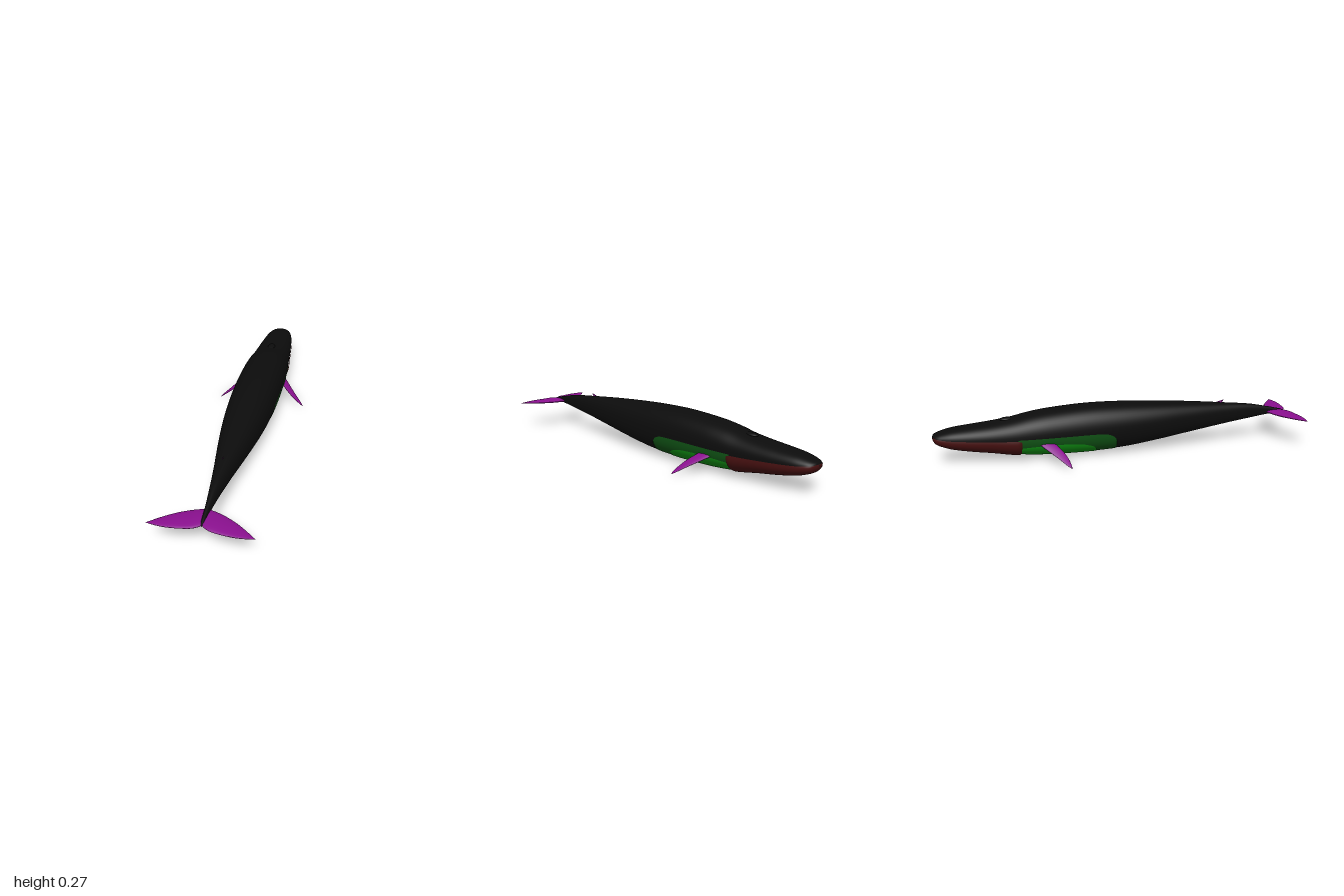
import * as THREE from 'three';
import { mergeVertices } from 'three/addons/utils/BufferGeometryUtils.js';

// Body stations: z, half width, top y, bottom y
const STATIONS = [
  [-1, 0, 0.149, 0.143], [-0.995, 0.028, 0.158, 0.13], [-0.98, 0.05, 0.166, 0.114],
  [-0.95, 0.065, 0.176, 0.1], [-0.9, 0.079, 0.187, 0.084], [-0.8, 0.093, 0.198, 0.066],
  [-0.7, 0.103, 0.208, 0.052], [-0.6, 0.111, 0.222, 0.038], [-0.5, 0.12, 0.243, 0.026],
  [-0.4, 0.125, 0.257, 0.02], [-0.2, 0.126, 0.271, 0.017], [0, 0.119, 0.27, 0.025],
  [0.2, 0.102, 0.26, 0.05], [0.4, 0.075, 0.245, 0.08], [0.6, 0.044, 0.226, 0.109],
  [0.75, 0.024, 0.21, 0.129], [0.85, 0.014, 0.19, 0.142], [0.93, 0.009, 0.172, 0.149],
  [0.96, 0.006, 0.164, 0.153], [0.966, 0, 0.16, 0.157],
];
const POWER = 2.3; // superellipse exponent of the cross-section

// Smooth cubic interpolation of a table whose first column is the key
function sample(table, key) {
  const last = table.length - 1;
  let i = 0;
  while (i < last - 1 && key > table[i + 1][0]) i++;
  const a = table[i], b = table[i + 1], p = table[Math.max(i - 1, 0)], q = table[Math.min(i + 2, last)];
  const h = b[0] - a[0], t = THREE.MathUtils.clamp((key - a[0]) / h, 0, 1);
  const t2 = t * t, t3 = t2 * t;
  return a.slice(1).map((v, k) => {
    const c = k + 1;
    const m0 = (b[c] - p[c]) / (b[0] - p[0]) * h, m1 = (q[c] - a[c]) / (q[0] - a[0]) * h;
    return (2 * t3 - 3 * t2 + 1) * v + (t3 - 2 * t2 + t) * m0 + (3 * t2 - 2 * t3) * b[c] + (t3 - t2) * m1;
  });
}

// Surface from point(u, v), with u around and v along
function surface(cols, rows, point) {
  const pos = [], idx = [];
  for (let r = 0; r <= rows; r++)
    for (let c = 0; c <= cols; c++) pos.push(...point(c / cols, r / rows));
  for (let r = 0; r < rows; r++)
    for (let c = 0; c < cols; c++) {
      const a = r * (cols + 1) + c, d = a + cols + 1;
      idx.push(a, a + 1, d, a + 1, d + 1, d);
    }
  let g = new THREE.BufferGeometry();
  g.setAttribute('position', new THREE.Float32BufferAttribute(pos, 3));
  g.setIndex(idx);
  g = mergeVertices(g, 1e-6);
  g.computeVertexNormals();
  return g;
}

const bend = (v, e) => Math.sign(v) * Math.abs(v) ** e;

// Point on the body skin; angle 0 is the belly line, positive towards +x
function skin(z, angle, offset = 0) {
  const [w, top, bottom] = sample(STATIONS, z);
  const c = (top + bottom) / 2, h = (top - bottom) / 2;
  return [
    (Math.max(w, 0) + offset) * bend(Math.sin(angle), 2 / POWER),
    c - (h + offset) * bend(Math.cos(angle), 2 / POWER), z,
  ];
}

// Skin angle at which the side reaches height y
function angleAt(z, y) {
  const [, top, bottom] = sample(STATIONS, z);
  const r = THREE.MathUtils.clamp(((top + bottom) / 2 - y) / ((top - bottom) / 2), -1, 1);
  return Math.acos(bend(r, POWER / 2));
}

// Raised underside patch; the edge table holds z, upper y, offset
function patch(edge, rows, ease = 1) {
  const z0 = edge[0][0], z1 = edge[edge.length - 1][0];
  return surface(48, rows, (u, v) => {
    const z = z0 + (z1 - z0) * v ** ease;
    const [y, offset] = sample(edge, z), s = u * 2 - 1;
    return skin(z, s * angleAt(z, y), offset * (1 - 0.7 * s ** 8));
  });
}

// Lens-section fin; sections hold x, y, leading z, trailing z, half thickness
function fin(sections, normal, side) {
  const keyed = sections.map((s, i) => [i, ...s]);
  return surface(20, (sections.length - 1) * 3, (u, v) => {
    const [x, y, z0, z1, t] = sample(keyed, v * (sections.length - 1));
    const a = -u * Math.PI * 2 * side, n = Math.sin(a) * t;
    return [side * (x + normal[0] * n), y + normal[1] * n, (z0 + z1) / 2 + Math.cos(a) * (z1 - z0) / 2];
  });
}

export function createModel() {
  const model = new THREE.Group();
  model.name = 'whale';
  const paint = (name, color) => {
    const m = new THREE.MeshStandardMaterial({ color });
    m.name = name;
    return m;
  };
  const black = paint('black skin', 0x0c0c0c);
  const purple = paint('purple fins', 0x8a108f);
  const darkGreen = paint('dark green throat', 0x0f5014);
  const green = paint('green belly', 0x0f8a12);
  const red = paint('dark red jaw', 0x451010);
  const add = (name, geometry, material) => {
    const mesh = new THREE.Mesh(geometry, material);
    mesh.name = name;
    model.add(mesh);
    return mesh;
  };

  // Body, with rows packed towards the nose
  add('body', surface(56, 110, (u, v) =>
    skin(-1 + 1.966 * v ** 1.5, (u * 2 - 1) * Math.PI)), black);

  // Blowhole ridge
  const ridge = add('blowholeRidge', new THREE.SphereGeometry(1, 20, 12), black);
  ridge.scale.set(0.022, 0.011, 0.04);
  ridge.position.set(0, 0.217, -0.615);

  // Throat and belly patches, rounded off at the rear
  add('throat', patch([
    [-0.57, 0.13, 0.002], [-0.3, 0.134, 0.002], [-0.13, 0.134, 0.002], [-0.085, 0.125, 0.002],
    [-0.058, 0.105, 0.002], [-0.045, 0.075, 0.002], [-0.04, 0.03, 0.002],
  ], 50), darkGreen);
  add('belly', patch([
    [-0.57, 0.085, 0.004], [-0.53, 0.09, 0.004], [-0.4, 0.097, 0.004], [-0.27, 0.094, 0.004],
    [-0.2, 0.08, 0.004], [-0.165, 0.06, 0.004], [-0.15, 0.025, 0.004],
  ], 50), green);

  // Lower jaw, swelling at its hinge
  add('lowerJaw', patch([
    [-1, 0.152, 0.001], [-0.98, 0.148, 0.003], [-0.9, 0.14, 0.004], [-0.8, 0.134, 0.005],
    [-0.7, 0.129, 0.006], [-0.62, 0.126, 0.009], [-0.575, 0.125, 0.01],
    [-0.56, 0.122, 0.008], [-0.55, 0.118, 0.001],
  ], 70, 1.5), red);

  // Flippers and tail flukes in mirrored pairs
  const flipper = [
    [0.09, 0.116, -0.475, -0.4, 0.008], [0.125, 0.092, -0.452, -0.373, 0.008],
    [0.16, 0.067, -0.414, -0.346, 0.006], [0.2, 0.039, -0.372, -0.326, 0.004],
    [0.235, 0.015, -0.338, -0.317, 0.002], [0.249, 0.004, -0.319, -0.318, 0],
  ];
  const fluke = [
    [0, 0.158, 0.85, 0.955, 0.009], [0.01, 0.158, 0.851, 0.967, 0.01],
    [0.04, 0.158, 0.859, 0.985, 0.011], [0.08, 0.157, 0.874, 0.993, 0.01],
    [0.12, 0.157, 0.895, 0.998, 0.009], [0.16, 0.157, 0.921, 1, 0.007],
    [0.2, 0.157, 0.952, 0.997, 0.005], [0.23, 0.157, 0.978, 0.992, 0.002],
    [0.244, 0.157, 0.988, 0.989, 0],
  ];
  for (const [label, side] of [['left', 1], ['right', -1]]) {
    add(label + 'Flipper', fin(flipper, [0.57, 0.82], side), purple);
    add(label + 'Fluke', fin(fluke, [0, 1], side), purple);
  }

  // Small dorsal fin
  add('dorsalFin', fin([
    [0, 0.218, 0.515, 0.575, 0.006], [0, 0.23, 0.54, 0.579, 0.005],
    [0, 0.238, 0.564, 0.587, 0.003], [0, 0.244, 0.588, 0.59, 0],
  ], [1, 0], -1), purple);

  return model;
}
